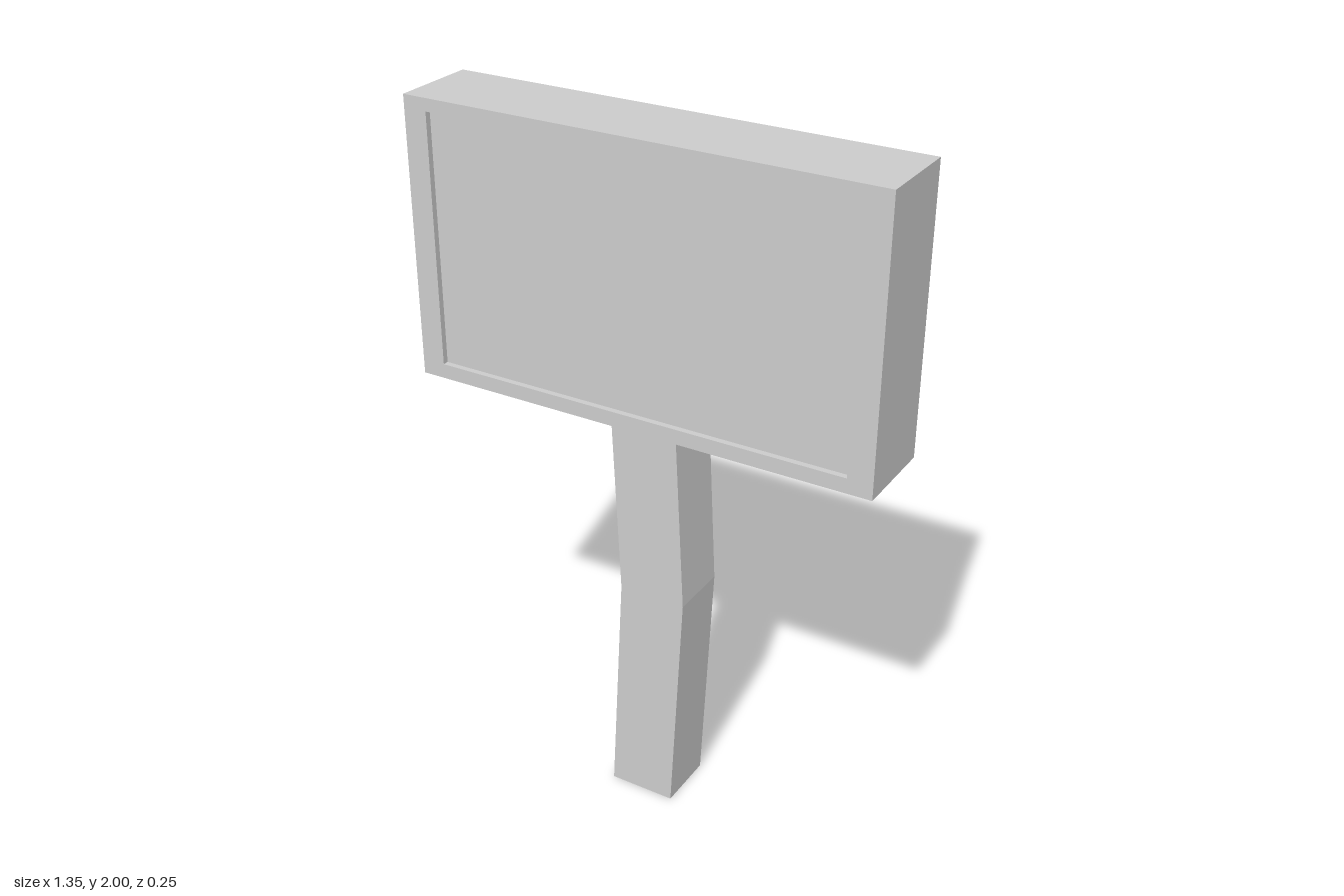
import * as THREE from 'three';

const material = new THREE.MeshStandardMaterial({ color: 0xcccccc, flatShading: true });

// Closed rectangular outline between two corners
const rect = (Type, x0, y0, x1, y1) => new Type([
  new THREE.Vector2(x0, y0), new THREE.Vector2(x1, y0),
  new THREE.Vector2(x1, y1), new THREE.Vector2(x0, y1),
]);

// Extrude an outline from z0 to z1
function slab(name, shape, z0, z1) {
  const geometry = new THREE.ExtrudeGeometry(shape, { depth: z1 - z0, bevelEnabled: false });
  geometry.translate(0, 0, z0);
  const mesh = new THREE.Mesh(geometry, material);
  mesh.name = name;
  return mesh;
}

export function createModel() {
  const model = new THREE.Group();
  model.name = 'signpost';

  // Sign frame with a window through it
  const frame = rect(THREE.Shape, -0.675, 1.217, 0.675, 2);
  frame.holes.push(rect(THREE.Path, -0.607, 1.259, 0.605, 1.965));
  model.add(slab('signFrame', frame, -0.125, 0.125));

  // Panel filling the window, slightly recessed on both faces
  const panel = rect(THREE.Shape, -0.607, 1.259, 0.605, 1.965);
  model.add(slab('signPanel', panel, -0.1, 0.108));

  // Post with a slight bend to the model's left
  const post = new THREE.Shape([
    [-0.1, 0], [0.096, 0], [0.132, 0.695], [0.106, 1.217], [-0.09, 1.217], [-0.065, 0.695],
  ].map(([x, y]) => new THREE.Vector2(x, y)));
  model.add(slab('bentPost', post, -0.088, 0.088));

  return model;
}
